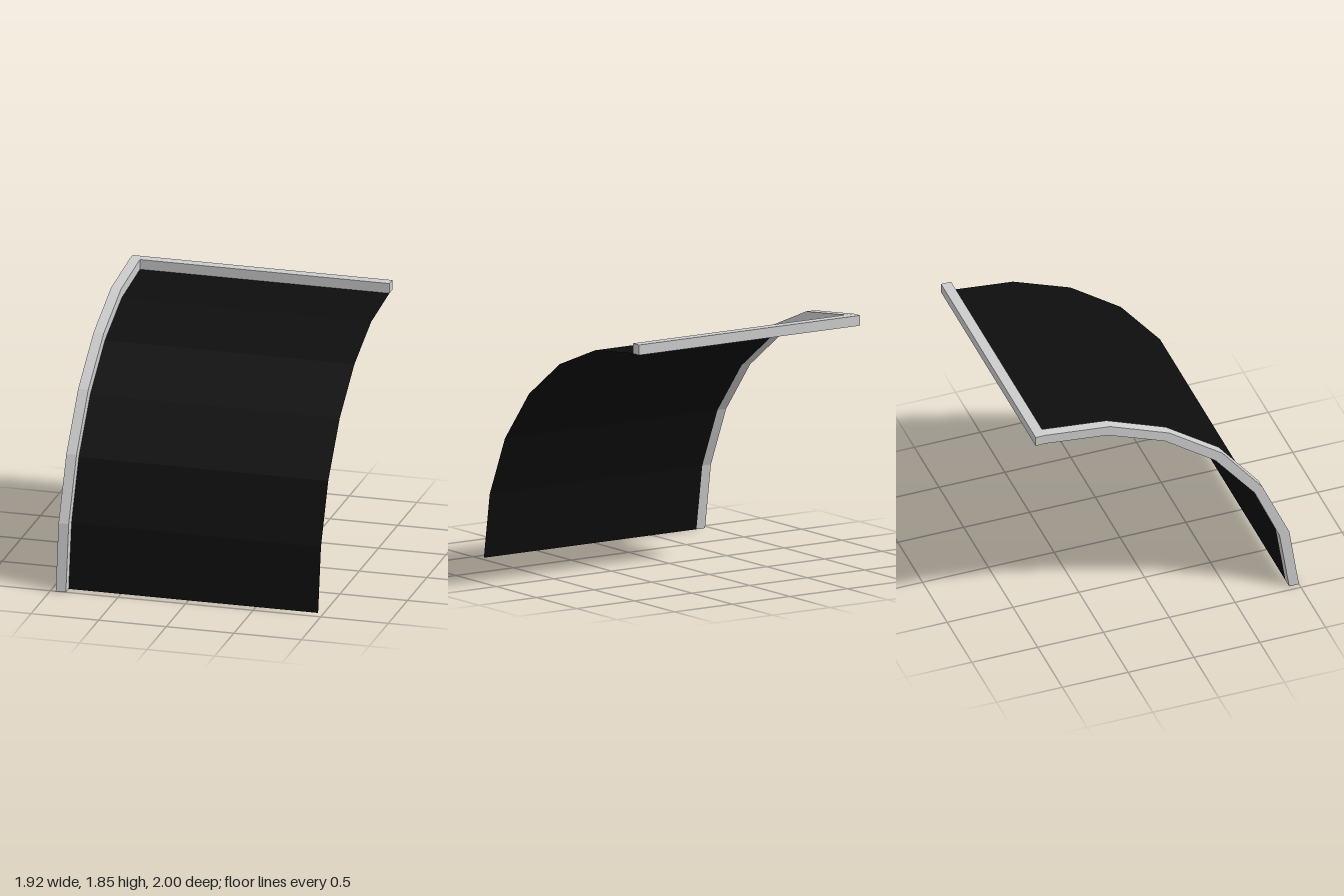
import * as THREE from 'three';

// Side profiles of the curved rib as [z, y], from the foot to the top rear
const OUTER = [[1, 0], [0.927, 0.49], [0.723, 0.945], [0.418, 1.33], [0.016, 1.618], [-0.435, 1.797], [-0.924, 1.85]];
const INNER = [[0.926, 0], [0.853, 0.474], [0.664, 0.907], [0.365, 1.278], [-0.016, 1.554], [-0.453, 1.724], [-0.924, 1.776]];
const HALF = 0.96, BAR = 0.075;

export function createModel() {
  const frameGrey = new THREE.MeshStandardMaterial({ color: 0xcccccc, flatShading: true });
  frameGrey.name = 'frame grey';
  const panelBlack = new THREE.MeshStandardMaterial({ color: 0x0d0d0d, flatShading: true, side: THREE.DoubleSide });
  panelBlack.name = 'panel black';

  const model = new THREE.Group();
  model.name = 'curvedPanel';
  const add = (name, geometry, material) => {
    const mesh = new THREE.Mesh(geometry, material);
    mesh.name = name;
    model.add(mesh);
    return mesh;
  };

  // Curved rib along the right edge: side profile extruded across x
  const outline = [...OUTER, ...[...INNER].reverse()].map(([z, y]) => new THREE.Vector2(z, y));
  const rib = new THREE.ExtrudeGeometry(new THREE.Shape(outline), { depth: BAR, bevelEnabled: false });
  rib.rotateY(-Math.PI / 2).translate(-HALF + BAR, 0, 0);
  add('curvedRib', rib, frameGrey);

  // Straight rail across the top rear edge
  const rail = add('topRail', new THREE.BoxGeometry(2 * HALF, 0.074, 0.076), frameGrey);
  rail.position.set(0, 1.813, -0.962);

  // Thin sheet following the inner side of the rib
  const segments = INNER.length - 1;
  const sheet = new THREE.PlaneGeometry(2 * HALF - BAR, 1, 1, segments);
  sheet.translate(BAR / 2, 0, 0);
  const pos = sheet.attributes.position;
  for (let i = 0; i < pos.count; i++) {
    const [z, y] = INNER[segments - Math.floor(i / 2)];
    pos.setXYZ(i, pos.getX(i), y, z);
  }
  sheet.computeVertexNormals();
  add('curvedSheet', sheet, panelBlack);

  return model;
}
